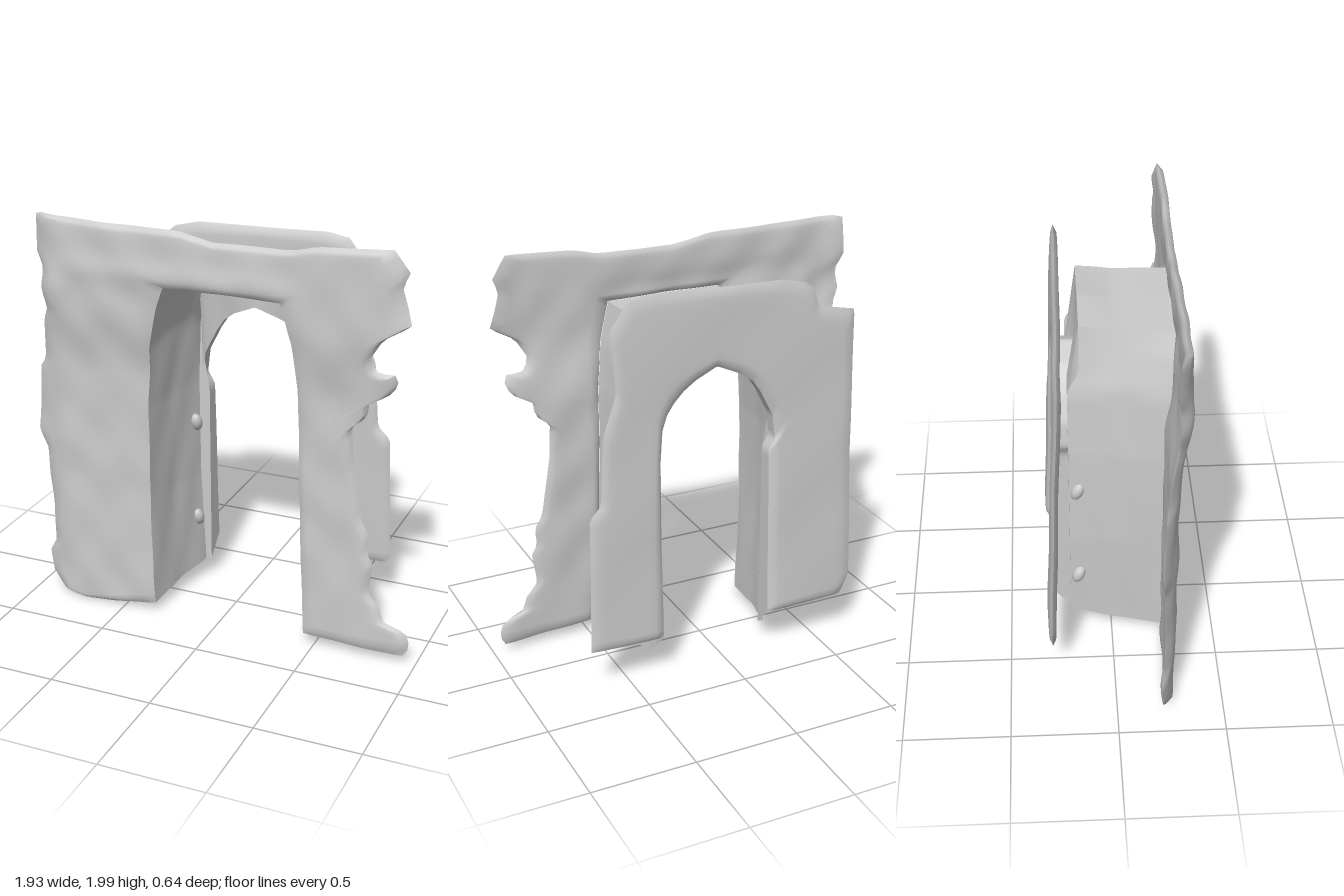
import * as THREE from 'three';
import { toCreasedNormals } from 'three/addons/utils/BufferGeometryUtils.js';

const material = new THREE.MeshStandardMaterial({ color: 0xcccccc, side: THREE.DoubleSide });
const smooth = THREE.MathUtils.smoothstep;

// Depth of the front wall: lintel stands forward, outer edges curl back
const frontZ = (x, y) =>
  0.25 + 0.035 * smooth(y, 1.25, 1.6)
  + 0.01 * Math.exp(-Math.pow((y - 1.76) / 0.06, 2)) * (1 - smooth(Math.abs(x + 0.2), 0.4, 0.7))
  + 0.015 * Math.exp(-(Math.pow(x + 0.78, 2) + Math.pow(y - 1.66, 2)) / 0.006)
  - (x < 0 ? 0.045 : 0.01 + 0.03 * smooth(y, 1.6, 1.8)) * smooth(Math.abs(x), 0.76, 0.96)
  + 0.004 * Math.sin(9 * x + 3 * Math.sin(4 * y)) * Math.sin(8 * y - 3 * Math.sin(5 * x))
  + 0.003 * Math.sin(21 * x + 2 * y) * Math.sin(17 * y + 2);

// Depth of the back wall: a lean toward the front
const backZ = (x, y) => -0.305 + 0.035 * y + 0.003 * Math.sin(8 * x + 3 * y) * Math.sin(7 * y);

// Depth of the step behind the passage: shallower above the arch
const stepZ = (x, y) => -0.2 + 0.055 * smooth(y, 1.42, 1.54);

// Evenly spaced points along each polyline, joined into one path: left side, top, right side
function resample(segments, counts = [60, 40, 60]) {
  const out = [];
  segments.forEach((seg, k) => {
    const path = new THREE.CurvePath();
    for (let i = 1; i < seg.length; i++) {
      path.add(new THREE.LineCurve(new THREE.Vector2(...seg[i - 1]), new THREE.Vector2(...seg[i])));
    }
    for (let i = k ? 1 : 0; i <= counts[k]; i++) out.push(path.getPointAt(i / counts[k]));
  });
  return out;
}

// Surface through rows of points
function surface(rows, closed = false) {
  const n = rows[0].length, pos = [], index = [];
  rows.forEach(r => r.forEach(p => pos.push(p.x, p.y, p.z)));
  for (let i = 0; i < rows.length - 1; i++) {
    for (let j = 0; j < (closed ? n : n - 1); j++) {
      const a = i * n + j, b = i * n + (j + 1) % n;
      index.push(a, b, a + n, b, b + n, a + n);
    }
  }
  const g = new THREE.BufferGeometry();
  g.setAttribute('position', new THREE.Float32BufferAttribute(pos, 3));
  g.setIndex(index);
  return g;
}

// Thin slab between an opening path and an outer path, with thin rounded rims
function panel(inner, outer, thickness, zAt) {
  const a = resample(inner), b = resample(outer), steps = 16, last = a.length - 1;
  const rows = a.map((p, i) => {
    const end = i === 0 || i === last ? 0.25 : 1;
    const row = [];
    for (let k = 0; k < steps * 2; k++) {
      const front = k < steps;
      const u = front ? k / steps : 2 - k / steps;
      const q = p.clone().lerp(b[i], u);
      const half = thickness / 2 * end * (0.2 + 0.8 * Math.sqrt(1 - Math.pow(2 * u - 1, 6)));
      row.push(new THREE.Vector3(q.x, q.y, zAt(q.x, q.y) + (front ? half : -half)));
    }
    return row;
  });
  // close the two feet by folding the end rows flat
  const fold = row => row.map((p, k) => p.clone().lerp(row[(row.length - k) % row.length], 0.5));
  const g = surface([fold(rows[0]), ...rows, fold(rows[last])], true);
  return toCreasedNormals(g, 0.9);
}

function add(group, name, geometry) {
  const mesh = new THREE.Mesh(geometry, material);
  mesh.name = name;
  group.add(mesh);
  return mesh;
}

export function createModel() {
  const group = new THREE.Group();
  group.name = 'ruinedArchway';

  // Front wall: tall square-headed doorway with a crumbled outer edge
  const doorway = [
    [[-0.33, 0.06], [-0.345, 0.5], [-0.345, 1.1], [-0.325, 1.4], [-0.28, 1.6], [-0.24, 1.71]],
    [[-0.24, 1.71], [0.05, 1.715], [0.33, 1.71]],
    [[0.33, 1.71], [0.38, 1.52], [0.405, 1.3], [0.415, 0.9], [0.43, 0.5], [0.45, 0.07]],
  ];
  const ragged = [
    [[-0.7, 0.01], [-0.85, 0.03], [-0.92, 0.1], [-0.94, 0.22], [-0.9, 0.28], [-0.9, 0.5], [-0.92, 0.65],
      [-0.92, 0.78], [-0.97, 0.87], [-0.95, 1.05], [-0.94, 1.22], [-0.91, 1.25], [-0.89, 1.47],
      [-0.86, 1.53], [-0.89, 1.62], [-0.87, 1.72], [-0.91, 1.8], [-0.9, 1.98]],
    [[-0.9, 1.98], [-0.86, 1.99], [-0.5, 1.98], [-0.18, 1.98], [0, 1.945], [0.38, 1.95], [0.5, 1.98], [0.83, 2]],
    [[0.83, 2], [0.9, 1.9], [0.87, 1.84], [0.92, 1.67], [0.8, 1.6], [0.74, 1.5], [0.78, 1.44], [0.86, 1.44],
      [0.87, 1.39], [0.82, 1.33], [0.74, 1.31], [0.73, 1.22], [0.66, 1.17], [0.67, 1], [0.72, 0.7],
      [0.76, 0.64], [0.75, 0.55], [0.78, 0.5], [0.76, 0.35], [0.82, 0.28], [0.84, 0.21], [0.95, 0.17],
      [0.97, 0.1], [0.94, 0.05]],
  ];
  add(group, 'frontWall', panel(doorway, ragged, 0.04, frontZ));

  // Pointed arch shared by the passage lining and the back wall
  const arch = foot => [
    [[-0.225, foot], [-0.23, 1.06], [-0.265, 1.12], [-0.25, 1.24], [-0.19, 1.36]],
    [[-0.19, 1.36], [-0.15, 1.42], [-0.09, 1.465], [0.03, 1.52], [0.14, 1.47], [0.2, 1.43], [0.25, 1.38]],
    [[0.25, 1.38], [0.285, 1.33], [0.31, 1.26], [0.325, 1.1], [0.33, foot]],
  ];

  // Passage: narrows toward the back, steps in to the arch and meets the back wall
  const middle = [
    [[-0.305, 0.09], [-0.325, 0.6], [-0.325, 1.1], [-0.3, 1.45], [-0.225, 1.72]],
    [[-0.225, 1.72], [0.04, 1.72], [0.32, 1.72]],
    [[0.32, 1.72], [0.37, 1.45], [0.39, 1.1], [0.4, 0.6], [0.415, 0.09]],
  ];
  const inset = [
    [[-0.255, 0.11], [-0.28, 0.6], [-0.285, 1.1], [-0.275, 1.4], [-0.215, 1.745]],
    [[-0.215, 1.745], [0.04, 1.765], [0.31, 1.745]],
    [[0.31, 1.745], [0.35, 1.4], [0.36, 1.1], [0.365, 0.6], [0.37, 0.11]],
  ];
  const stations = [[doorway, frontZ], [middle, () => 0.02], [inset, stepZ], [arch(0.115), stepZ], [arch(0.22), backZ]]
    .map(([path, zAt]) => resample(path).map(p => new THREE.Vector3(p.x, p.y, zAt(p.x, p.y))));
  const rows = [];
  for (let s = 0; s < stations.length - 1; s++) {
    for (let k = s ? 1 : 0; k <= 6; k++) {
      rows.push(stations[s].map((p, i) => p.clone().lerp(stations[s + 1][i], k / 6)));
    }
  }
  // slight unevenness of the side walls
  rows.slice(1, 12).flat().forEach(v => {
    v.x += 0.004 * Math.sin(7 * v.y + 2 * Math.sin(9 * v.z)) * Math.sin(15 * v.z + 3 * v.y);
  });
  add(group, 'passage', toCreasedNormals(surface(rows), 0.6));

  // Back wall: flat leaning slab with stepped shoulders around the arch
  const shoulders = [
    [[-0.63, 0.22], [-0.68, 0.32], [-0.67, 1], [-0.68, 1.69], [-0.49, 1.73], [-0.46, 1.82], [-0.42, 1.85]],
    [[-0.42, 1.85], [-0.3, 1.88], [0.1, 1.89], [0.36, 1.9], [0.46, 1.88]],
    [[0.46, 1.88], [0.55, 1.76], [0.53, 1.47], [0.6, 1.28], [0.62, 0.96], [0.68, 0.9], [0.7, 0.23]],
  ];
  add(group, 'backWall', panel(arch(0.22), shoulders, 0.036, backZ));

  // Small stones bedded in the passage walls
  [[0.385, 0.82, -0.11], [-0.285, 0.88, -0.16], [-0.28, 0.36, -0.16]].forEach(([x, y, z]) => {
    const stone = add(group, 'looseStone', new THREE.SphereGeometry(1, 12, 8));
    stone.position.set(x, y, z);
    stone.scale.set(0.03, 0.05, 0.03);
    stone.rotation.x = 0.4;
  });

  return group;
}
